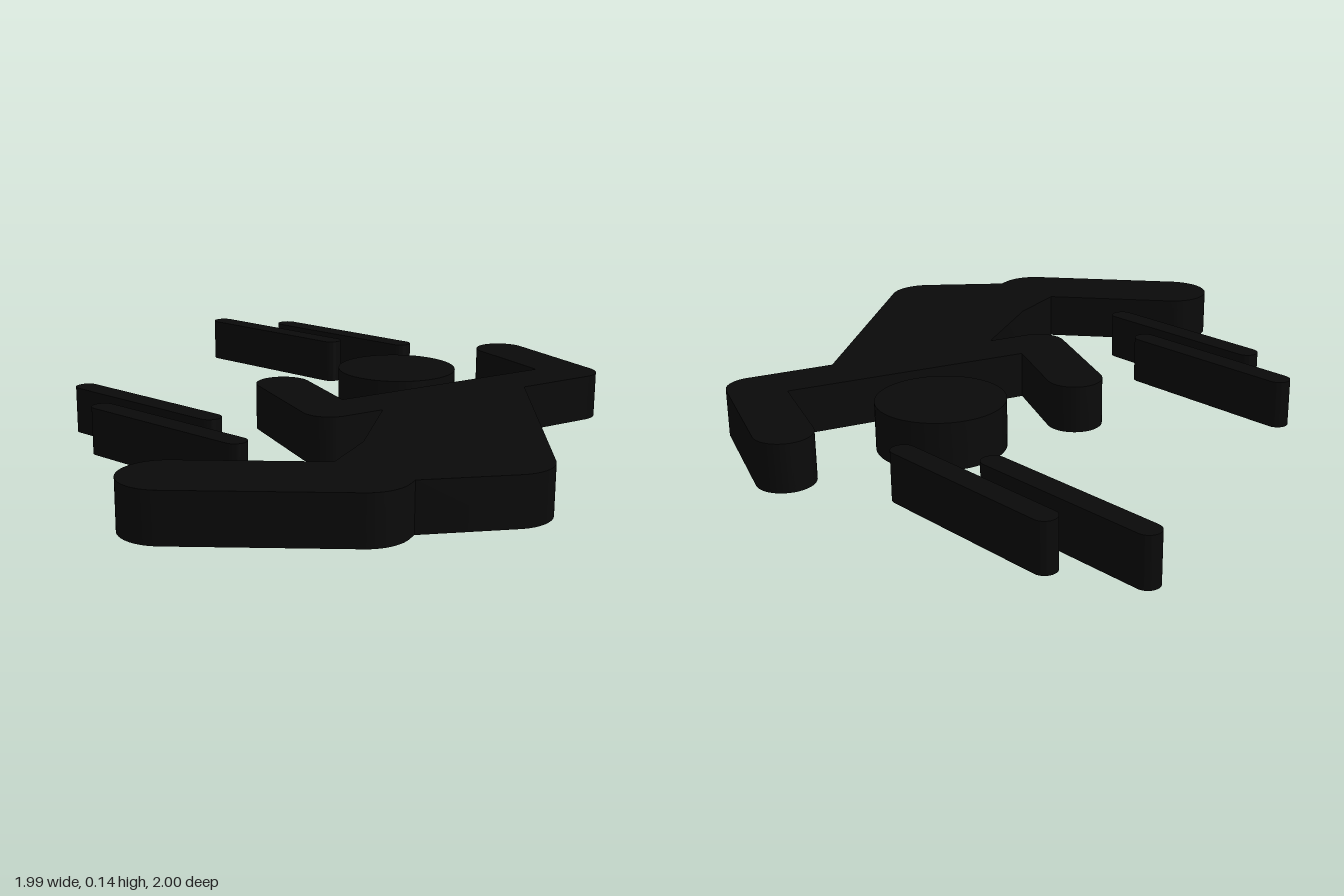
import * as THREE from 'three';
import { toCreasedNormals } from 'three/addons/utils/BufferGeometryUtils.js';

const THICKNESS = 0.145;
const LIMB = 0.085;  // arm end radius
const THIGH = 0.125; // leg end radius
const STREAK = 0.035;

// Clockwise outline as [x, z, radius]: straight tangents run between circles; radius 0 is a sharp corner
function outline(stops) {
  const pts = stops.map(([x, z, r = 0]) => ({ x, y: -z, r }));
  const n = pts.length;
  // angle of the outward normal of the tangent from each stop to the next
  const normals = pts.map((a, i) => {
    const b = pts[(i + 1) % n];
    const dx = b.x - a.x, dy = b.y - a.y;
    return Math.atan2(dy, dx) + Math.acos((a.r - b.r) / Math.hypot(dx, dy));
  });
  const shape = new THREE.Shape();
  pts.forEach((p, i) => {
    const from = normals[(i + n - 1) % n], to = normals[i];
    const x = p.x + p.r * Math.cos(from), y = p.y + p.r * Math.sin(from);
    if (i === 0) shape.moveTo(x, y);
    else shape.lineTo(x, y);
    if (p.r > 0) shape.absarc(p.x, p.y, p.r, from, to, true);
  });
  shape.closePath();
  return shape;
}

// Raises a ground-plane outline into a solid plate
function plate(shape) {
  const geometry = new THREE.ExtrudeGeometry(shape, {
    depth: THICKNESS, bevelEnabled: false, curveSegments: 20,
  });
  geometry.rotateX(-Math.PI / 2);
  return toCreasedNormals(geometry, 0.6);
}

export function createModel() {
  const group = new THREE.Group();
  const black = new THREE.MeshStandardMaterial({ color: 0x0a0a0a });
  const add = (name, geometry) => {
    const mesh = new THREE.Mesh(geometry, black);
    mesh.name = name;
    group.add(mesh);
    return mesh;
  };

  // Torso, raised arms and bent leg as one silhouette
  add('body', plate(outline([
    [-0.872, 0.293, THIGH], // foot
    [-0.508, 0.545],        // back of the knee
    [-0.316, 0.487],        // lap
    [-0.02, 0.322],         // armpit
    [-0.122, 0.202, LIMB],  // elbow
    [0.027, -0.117, LIMB],  // hand
    [-0.008, 0.157],        // inside of the elbow
    [0.72, 0.386],          // inside of the other elbow
    [0.907, 0.125, LIMB],   // other hand
    [0.77, 0.484, LIMB],    // other elbow
    [0.49, 0.487],          // other armpit
    [-0.2, 0.875, THIGH],   // hip
    [-0.492, 0.795],        // under the thigh
    [-0.556, 0.683, THIGH], // knee
  ])));

  // Head disc
  const head = add('head', new THREE.CylinderGeometry(0.193, 0.193, THICKNESS, 64));
  head.position.set(0.433, THICKNESS / 2, 0.025);

  // Motion streaks: round-ended bars as [x, centre z]
  const streak = plate(outline([[0, -0.273, STREAK], [0, 0.273, STREAK]]));
  [[-0.537, -0.056], [-0.411, -0.28], [0.62, -0.692], [0.745, -0.471]].forEach(([x, z], i) => {
    add(`motionStreak${i + 1}`, streak).position.set(x, 0, z);
  });

  return group;
}
